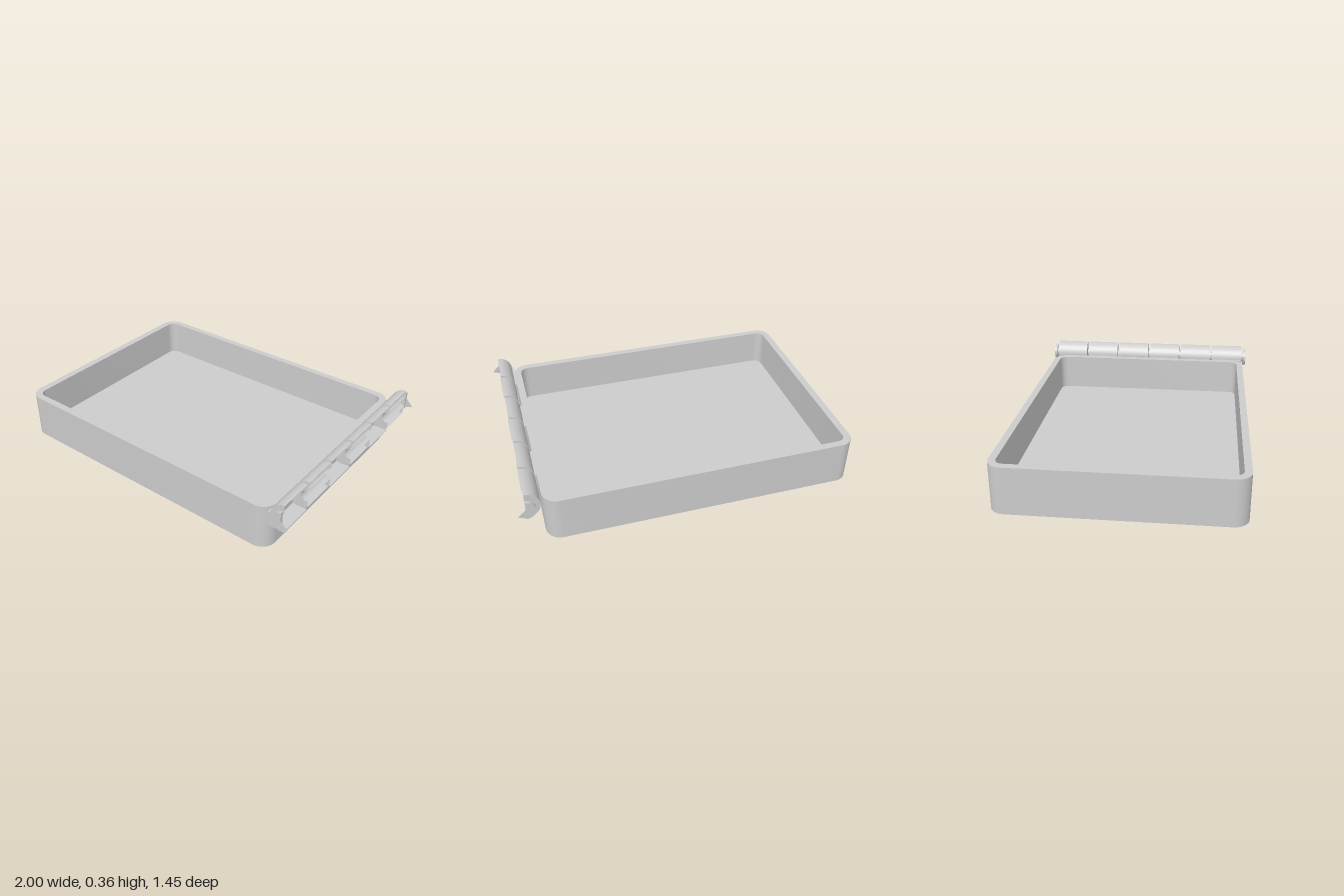
import * as THREE from 'three';
import { toCreasedNormals } from 'three/addons/utils/BufferGeometryUtils.js';

const material = new THREE.MeshStandardMaterial({ color: 0xcccccc });
const thin = new THREE.MeshStandardMaterial({ color: 0xcccccc, side: THREE.DoubleSide });
const PI = Math.PI;

// Hinge axis and radii
const AX = 0.955, AY = 0.28, R = 0.083, PIN = 0.036, CAP = 0.057;

function add(parent, name, geometry, mat = thin) {
  const mesh = new THREE.Mesh(geometry, mat);
  mesh.name = name;
  parent.add(mesh);
  return mesh;
}

// Rounded rectangle, drawn in x and z
function roundedRect(Type, x0, x1, z0, z1, r) {
  const s = new Type();
  s.absarc(x1 - r, z1 - r, r, 0, PI / 2);
  s.absarc(x0 + r, z1 - r, r, PI / 2, PI);
  s.absarc(x0 + r, z0 + r, r, PI, 1.5 * PI);
  s.absarc(x1 - r, z0 + r, r, 1.5 * PI, 2 * PI);
  s.closePath();
  return s;
}

// Raise a flat outline to a slab between two heights
function slab(shape, y0, y1) {
  const g = new THREE.ExtrudeGeometry(shape, { depth: y1 - y0, bevelEnabled: false, curveSegments: 12 });
  g.rotateX(-PI / 2).translate(0, y0, 0);
  return toCreasedNormals(g, 0.6);
}

// Open curved skin round the hinge axis, starting at the top and going over the box side
function skin(r, length, sweep, z) {
  const g = new THREE.CylinderGeometry(r, r, length, 20, 1, true, PI, sweep);
  return g.rotateX(PI / 2).translate(AX, AY, z);
}

// End profile of a knuckle: half ring, or quarter ring over a square foot
function endProfile(fixed) {
  const s = new THREE.Shape();
  s.moveTo(AX, AY + PIN);
  s.lineTo(AX, AY + R);
  s.absarc(AX, AY, R, PI / 2, fixed ? PI : 1.5 * PI, false);
  if (fixed) {
    s.lineTo(0.857, AY);
    s.lineTo(0.857, 0.19);
    s.lineTo(AX, 0.19);
  }
  s.lineTo(AX, AY - PIN);
  s.absarc(AX, AY, PIN, -PI / 2, -1.5 * PI, true);
  return s;
}

function knuckle(z, length, fixed) {
  const group = new THREE.Group();
  group.name = fixed ? 'fixedKnuckle' : 'movingKnuckle';
  add(group, 'knuckleSkin', skin(R, length, fixed ? PI / 2 : PI, z));
  for (const side of [-1, 1]) {
    const plate = new THREE.ShapeGeometry(endProfile(fixed), 16);
    add(group, 'knuckleEnd', plate.translate(0, 0, z + side * length / 2));
  }
  if (fixed) {
    add(group, 'knuckleFoot', new THREE.BoxGeometry(0.103, 0.004, length).translate(0.9085, 0.192, z));
    add(group, 'knuckleBack', new THREE.BoxGeometry(0.015, 0.09, length).translate(0.8645, 0.235, z));
  } else {
    add(group, 'hingePin', skin(PIN, length + 0.025, PI, z));
  }
  return group;
}

export function createModel() {
  const model = new THREE.Group();

  // Tray: floor slab and a rim wall with rounded corners
  const outline = () => roundedRect(THREE.Shape, -1, 0.86, -0.697, 0.697, 0.09);
  const wall = outline();
  wall.holes.push(roundedRect(THREE.Path, -0.955, 0.817, -0.655, 0.655, 0.05));
  add(model, 'trayFloor', slab(outline(), 0, 0.045), material);
  add(model, 'trayWall', slab(wall, 0.045, 0.28), material);

  // Hinge: fixed and moving knuckles alternate along the side
  const hinge = new THREE.Group();
  hinge.name = 'hinge';
  model.add(hinge);
  for (let i = 0; i < 6; i++) hinge.add(knuckle(0.584 - i * 0.233, 0.219, i % 2 === 0));

  // Half-round stops with a pointed tab at both ends
  for (const side of [-1, 1]) {
    add(hinge, 'endPin', skin(PIN, 0.025, PI, side * 0.699));
    const stop = new THREE.Shape();
    stop.absarc(AX, AY, CAP, PI / 2, 1.5 * PI);
    stop.closePath();
    const disc = new THREE.ExtrudeGeometry(stop, { depth: 0.018, bevelEnabled: false, curveSegments: 16 });
    disc.translate(0, 0, side * 0.716 - 0.009);
    add(hinge, 'endStop', toCreasedNormals(disc, 0.6));

    const tab = new THREE.Shape();
    tab.moveTo(0.95, 0.295);
    tab.lineTo(0.95, 0.225);
    tab.lineTo(1, 0.245);
    add(hinge, 'endTab', new THREE.ShapeGeometry(tab).translate(0, 0, side * 0.725));
  }
  return model;
}
